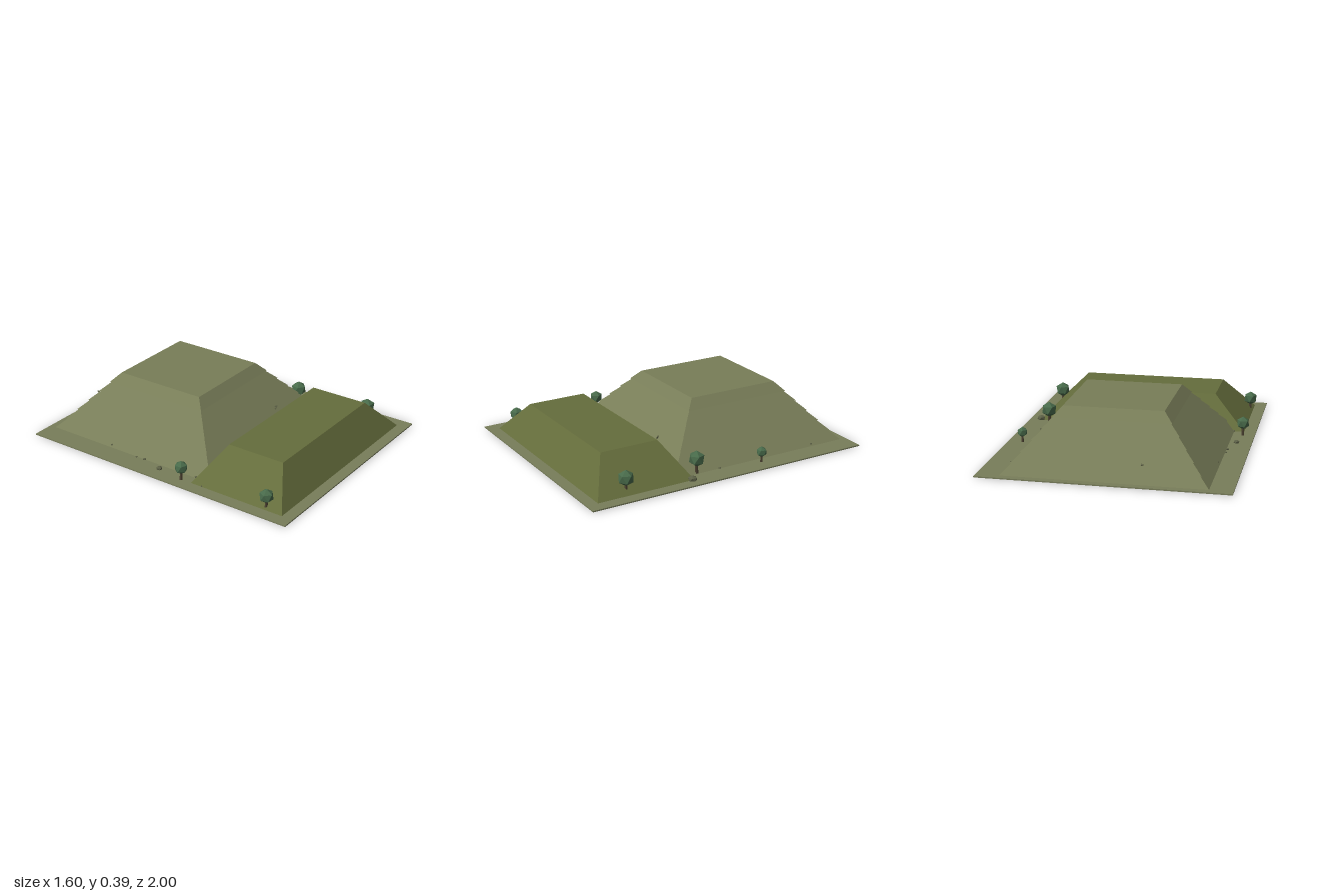
import * as THREE from 'three';

const material = (color) => new THREE.MeshStandardMaterial({ color, flatShading: true });
const mats = {
  ground: material(0x787d5a),
  stone: material(0x787d58),
  mound: material(0x656d3c),
  leaf: material(0x486a4a),
  trunk: material(0x4a4030),
  rock: material(0x5c6046),
};
const GROUND = 0.008;

function add(parent, name, geometry, mat, x, y, z) {
  const mesh = new THREE.Mesh(geometry, mat);
  mesh.name = name;
  mesh.position.set(x, y, z);
  parent.add(mesh);
  return mesh;
}

// Box whose top rectangle is narrowed; sizes are half extents, base at y = 0
function frustum(bx, bz, tx, tz, height) {
  const geometry = new THREE.BoxGeometry(2 * bx, height, 2 * bz).translate(0, height / 2, 0);
  const p = geometry.attributes.position;
  for (let i = 0; i < p.count; i++) {
    if (p.getY(i) > height / 2) {
      p.setXYZ(i, Math.sign(p.getX(i)) * tx, height, Math.sign(p.getZ(i)) * tz);
    }
  }
  geometry.computeVertexNormals();
  return geometry;
}

// Icosahedron turned so that one corner points straight up
const crown = (r) => new THREE.IcosahedronGeometry(r, 0).rotateZ(Math.atan(2 / (1 + Math.sqrt(5))));

function tree(x, z, r, y) {
  const group = new THREE.Group();
  group.name = 'tree';
  group.position.set(x, 0, z);
  add(group, 'trunk', new THREE.CylinderGeometry(r * 0.16, r * 0.24, y, 6), mats.trunk, 0, y / 2, 0);
  add(group, 'foliage', crown(r), mats.leaf, 0, y, 0).rotation.y = x * 9 + z * 5;
  return group;
}

export function createModel() {
  const model = new THREE.Group();
  model.name = 'steppedPyramidSite';

  // Ground slab
  add(model, 'ground', new THREE.BoxGeometry(1.6, GROUND, 2), mats.ground, 0, GROUND / 2, 0);

  // Pyramid of six tiers, each flaring slightly over the one below
  const pyramid = new THREE.Group();
  pyramid.name = 'pyramid';
  pyramid.position.set(0, GROUND, -0.303);
  model.add(pyramid);
  const step = 0.0625;
  for (let i = 0; i < 6; i++) {
    const base = 0.652 - 0.0542 * i;
    const top = i === 5 ? 0.323 : base - 0.064;
    add(pyramid, 'tier', frustum(base, base, top, top, step), mats.stone, 0, i * step, 0);
  }

  // Long flat-topped mound in front
  add(model, 'frontMound', frustum(0.72, 0.34, 0.5, 0.201, 0.22), mats.mound, 0, GROUND, 0.585);

  // Trees: x, z, crown radius, crown height
  for (const t of [
    [0.70, -0.275, 0.036, 0.078], [0.64, 0.18, 0.054, 0.108], [0.68, 0.71, 0.053, 0.11],
    [-0.72, 0.17, 0.045, 0.095], [-0.70, 0.80, 0.048, 0.096],
  ]) model.add(tree(...t));

  // Scattered stones: x, y, z, radius
  [
    [0.72, 0.018, 0.26, 0.032], [-0.70, 0.018, -0.02, 0.021], [-0.635, 0.02, -0.465, 0.01],
    [-0.66, 0.013, -0.24, 0.008], [-0.66, 0.015, -0.175, 0.011], [0.655, 0.014, 0.015, 0.01],
    [0.64, 0.02, -0.72, 0.008], [-0.65, 0.014, 0.235, 0.01], [-0.72, 0.012, 0.33, 0.006],
  ].forEach(([x, y, z, r], i) => {
    const rock = add(model, 'rock', crown(r), mats.rock, x, y, z);
    rock.scale.y = 0.65;
    rock.rotation.y = i * 1.3;
  });

  // Fallen fragments on the pyramid faces
  add(model, 'fragment', new THREE.TetrahedronGeometry(0.034), mats.rock, 0.25, 0.125, 0.23).scale.z = 0.7;
  add(model, 'fragment', new THREE.TetrahedronGeometry(0.014), mats.rock, -0.24, 0.125, -0.917).scale.y = 0.7;

  return model;
}
